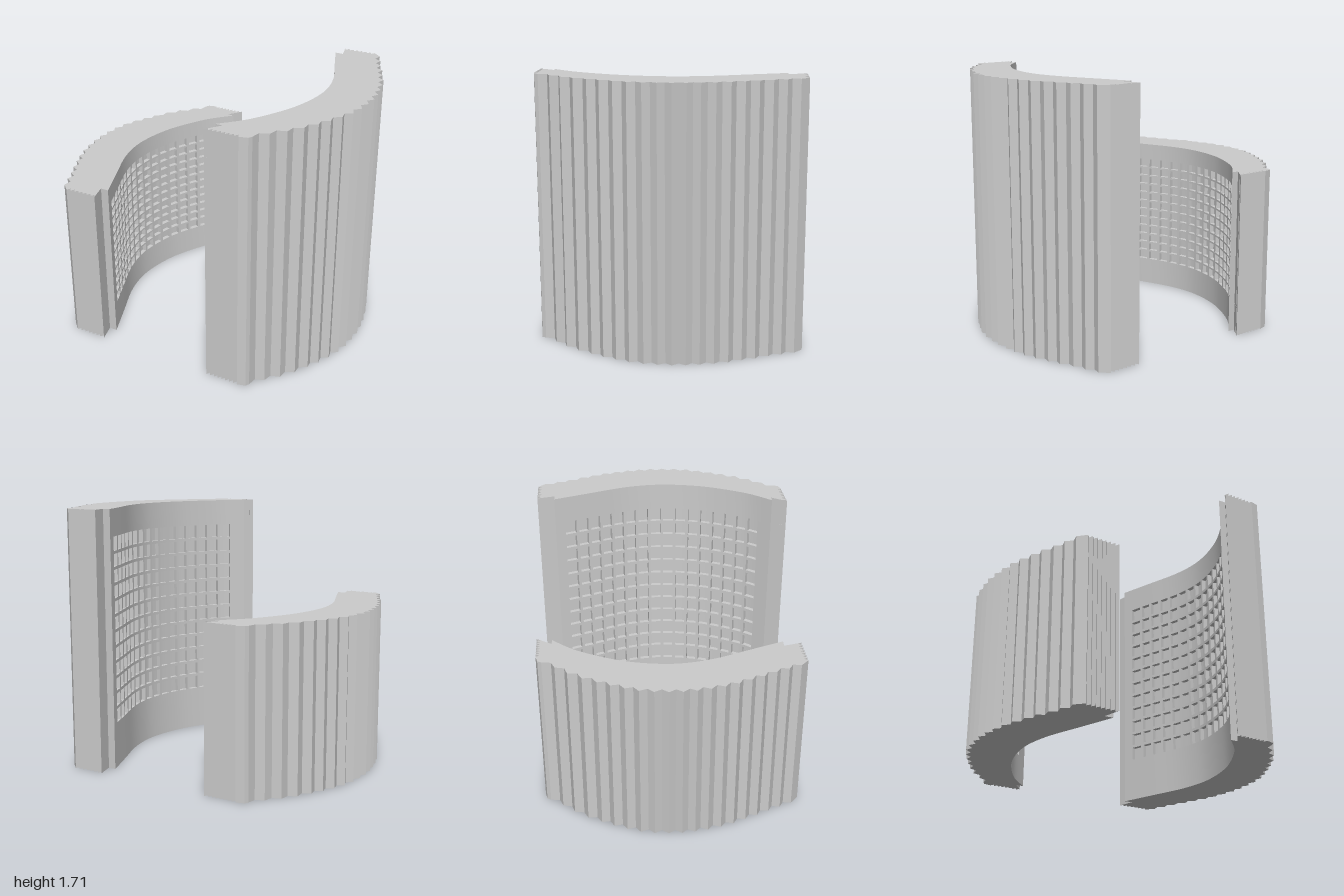
import * as THREE from 'three';
import { toCreasedNormals } from 'three/addons/utils/BufferGeometryUtils.js';

const V = (x, z) => new THREE.Vector2(x, z);
const HEIGHT = 1.71, SILL = 0.3, LINTEL = 1.53, RECESS = 0.03;

// Inner concave face, from the front tip to the back tip, in (x, z)
const innerCurve = new THREE.SplineCurve([
  V(0.367, 0.735), V(0.5, 0.575), V(0.615, 0.345), V(0.665, 0.17), V(0.683, 0),
  V(0.67, -0.14), V(0.625, -0.3), V(0.533, -0.51), V(0.435, -0.735),
]);

// Point on the inner face, sunk into the wall by depth
function innerPoint(t, depth = 0) {
  const p = innerCurve.getPointAt(t), d = innerCurve.getTangentAt(t);
  return V(p.x - d.y * depth, p.y + d.x * depth);
}
function innerRun(t0, t1, depth, n = 40) {
  return Array.from({ length: n + 1 }, (_, i) => innerPoint(t0 + (t1 - t0) * i / n, depth));
}

// Row of small teeth from a to b; valleys sink by (0, dz)
function teeth(a, b, count, dz) {
  const pts = [];
  for (let i = 0; i <= count; i++) {
    pts.push(a.clone().lerp(b, i / count));
    if (i < count) {
      const valley = a.clone().lerp(b, (i + 0.5) / count);
      valley.y += dz;
      pts.push(valley);
    }
  }
  return pts;
}

// Outer saw-tooth face, back to front: peaks with a valley between each pair
function outerTeeth() {
  const peaks = [
    V(0.727, -0.81), V(0.765, -0.73), V(0.8, -0.65), V(0.845, -0.57), V(0.88, -0.49), V(0.92, -0.41),
    V(0.95, -0.325), V(0.973, -0.24), V(0.99, -0.157), V(1, -0.073), V(1, 0.012), V(0.995, 0.1),
    V(0.98, 0.19), V(0.95, 0.275), V(0.915, 0.36), V(0.877, 0.44), V(0.83, 0.53), V(0.77, 0.62),
    V(0.7, 0.7), V(0.637, 0.785),
  ];
  const pts = [];
  peaks.forEach((p, i) => {
    pts.push(p);
    const q = peaks[i + 1];
    if (!q) return;
    const d = q.clone().sub(p).normalize();
    pts.push(V((p.x + q.x) / 2 - d.y * 0.03, (p.y + q.y) / 2 + d.x * 0.03));
  });
  return pts;
}

// Everything of the outline except the inner face
const shell = [
  V(0.49, -0.735),
  ...teeth(V(0.455, -0.85), V(0.67, -0.86), 7, 0.025),
  ...outerTeeth(),
  V(0.625, 0.81),
  ...teeth(V(0.57, 0.825), V(0.35, 0.835), 8, -0.025),
  V(0.415, 0.735),
];

// Upright prism from a plan outline
function prism(name, points, y0, y1, material) {
  const shape = new THREE.Shape(points.map(p => V(p.x, -p.y)));
  const geo = new THREE.ExtrudeGeometry(shape, { depth: y1 - y0, bevelEnabled: false });
  geo.rotateX(-Math.PI / 2).translate(0, y0, 0);
  const mesh = new THREE.Mesh(toCreasedNormals(geo, 0.3), material);
  mesh.name = name;
  return mesh;
}

function createTower(name) {
  const material = new THREE.MeshStandardMaterial({ color: 0xcccccc });
  const tower = new THREE.Group();
  tower.name = name;
  const T0 = 0.068, T1 = 0.955, COLS = 16, ROWS = 12, BAR = 0.02;

  // Wall: solid base and top, with a shallow recess for the windows between
  const full = [...innerRun(0, 1, 0), ...shell];
  const recessed = [
    ...innerRun(0, T0, 0, 3), ...innerRun(T0, T1, RECESS), ...innerRun(T1, 1, 0, 3), ...shell,
  ];
  tower.add(
    prism('base', full, 0, SILL, material),
    prism('windowWall', recessed, SILL, LINTEL, material),
    prism('top', full, LINTEL, HEIGHT, material),
  );

  // Window lattice, flush with the inner face
  const lattice = new THREE.Group();
  lattice.name = 'windowLattice';
  const half = BAR / 2 / innerCurve.getLength();
  for (let i = 1; i < COLS; i++) {
    const t = T0 + (T1 - T0) * i / COLS;
    const bar = [...innerRun(t - half, t + half, 0, 1), ...innerRun(t + half, t - half, RECESS, 1)];
    lattice.add(prism('mullion', bar, SILL, LINTEL, material));
  }
  const strip = [...innerRun(T0, T1, 0), ...innerRun(T1, T0, RECESS)];
  for (let j = 1; j < ROWS; j++) {
    const y = SILL + (LINTEL - SILL) * j / ROWS;
    lattice.add(prism('transom', strip, y - BAR / 2, y + BAR / 2, material));
  }
  tower.add(lattice);
  return tower;
}

export function createModel() {
  const model = new THREE.Group();
  model.name = 'twinCurvedTowers';
  const tall = createTower('tallTower');
  // The short tower is the same plan turned half round and squashed
  const short = createTower('shortTower');
  short.rotation.y = Math.PI;
  short.scale.y = 1.075 / HEIGHT;
  model.add(tall, short);
  return model;
}
